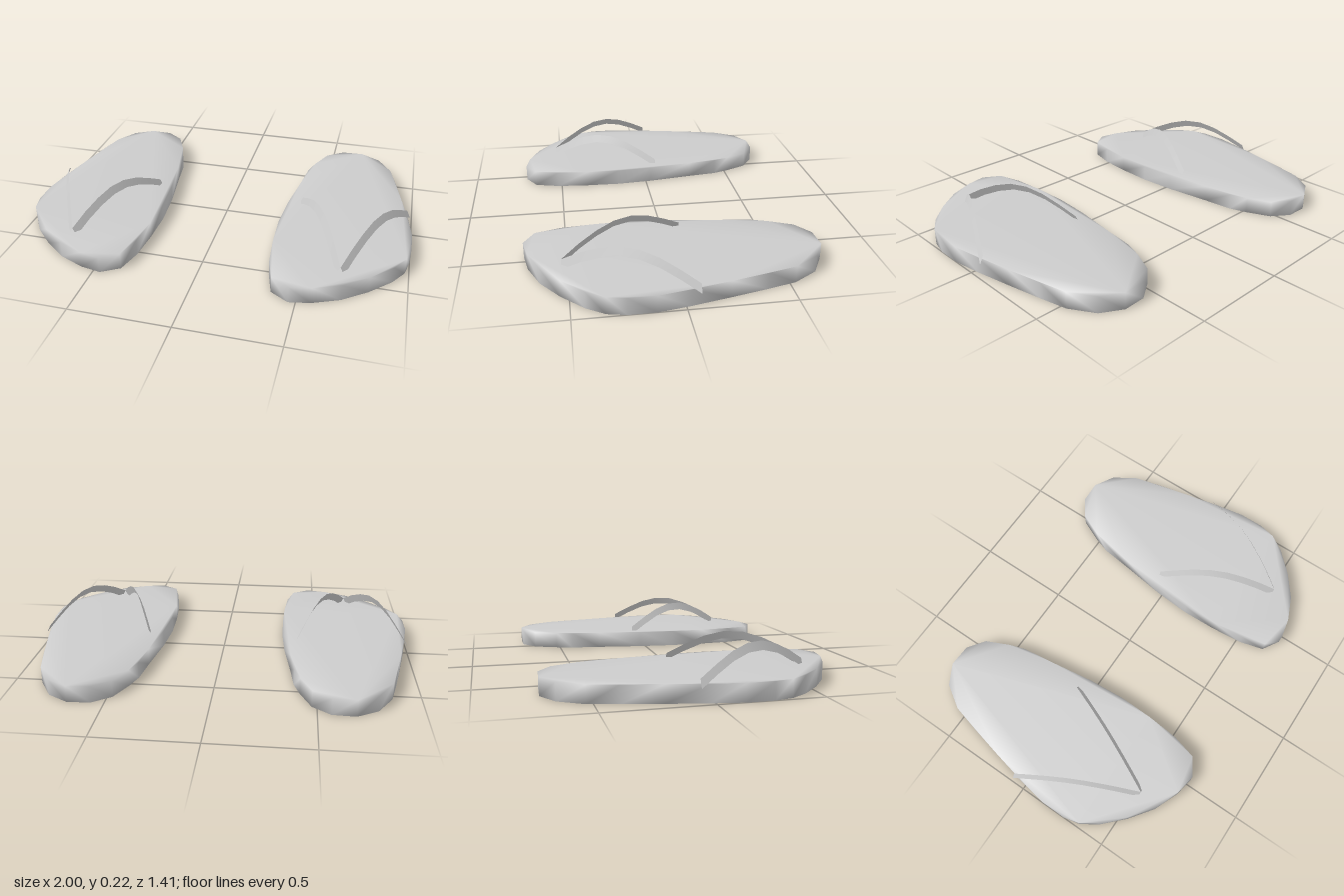
import * as THREE from 'three';
import { mergeVertices } from 'three/addons/utils/BufferGeometryUtils.js';

const rubber = new THREE.MeshStandardMaterial({ color: 0xcccccc });
rubber.name = 'grey rubber';
const strapRubber = rubber.clone();
strapRubber.side = THREE.DoubleSide;

const SOLE_HEIGHT = 0.085;

// Outline of the left sole as x, z pairs, starting at the heel
const OUTLINE = [
  [0.68, -0.71], [0.785, -0.65], [0.86, -0.53], [0.895, -0.39], [0.935, -0.21], [0.975, -0.02],
  [1.0, 0.13], [1.0, 0.26], [0.98, 0.35], [0.925, 0.435], [0.82, 0.54], [0.70, 0.63],
  [0.57, 0.685], [0.465, 0.705], [0.375, 0.65], [0.34, 0.52], [0.325, 0.35], [0.32, 0.165],
  [0.335, -0.03], [0.37, -0.27], [0.39, -0.43], [0.42, -0.52], [0.475, -0.64], [0.565, -0.705],
];

// Sole: extruded outline with vertices welded for soft shading
function soleGeometry() {
  const shape = new THREE.Shape(OUTLINE.map(([x, z]) => new THREE.Vector2(x, z)));
  const extruded = new THREE.ExtrudeGeometry(shape, { depth: SOLE_HEIGHT, bevelEnabled: false });
  extruded.rotateX(Math.PI / 2).translate(0, SOLE_HEIGHT, 0);
  extruded.deleteAttribute('normal');
  extruded.deleteAttribute('uv');
  const geometry = mergeVertices(extruded, 1e-4);
  geometry.computeVertexNormals();
  return geometry;
}

// Strap: arched ribbon from the toe post to the side, lower edge leaning outwards
function strapGeometry(endX, side) {
  const heights = [0.107, 0.16, 0.2, 0.225, 0.225, 0.2, 0.157, 0.107];
  const last = heights.length - 1;
  const positions = [];
  const index = [];
  heights.forEach((y, i) => {
    const t = i / last;
    const x = THREE.MathUtils.lerp(0.68, endX, t);
    const z = THREE.MathUtils.lerp(0.527, -0.065, t);
    positions.push(x, y, z, x + side * 0.02, y - 0.04, z);
    if (i < last) {
      const a = i * 2;
      if (side < 0) index.push(a, a + 2, a + 1, a + 1, a + 2, a + 3);
      else index.push(a, a + 1, a + 2, a + 1, a + 3, a + 2);
    }
  });
  const geometry = new THREE.BufferGeometry();
  geometry.setAttribute('position', new THREE.Float32BufferAttribute(positions, 3));
  geometry.setIndex(index);
  geometry.computeVertexNormals();
  return geometry;
}

function createSandal(name) {
  const sandal = new THREE.Group();
  sandal.name = name;
  const add = (part, geometry, material) => {
    const mesh = new THREE.Mesh(geometry, material);
    mesh.name = part;
    sandal.add(mesh);
  };
  add('sole', soleGeometry(), rubber);
  add('innerStrap', strapGeometry(0.412, -1), strapRubber);
  add('outerStrap', strapGeometry(0.967, 1), strapRubber);
  return sandal;
}

export function createModel() {
  const model = new THREE.Group();
  model.name = 'sandals';
  const right = createSandal('rightSandal');
  right.scale.x = -1; // mirror of the left sandal
  model.add(createSandal('leftSandal'), right);
  return model;
}
